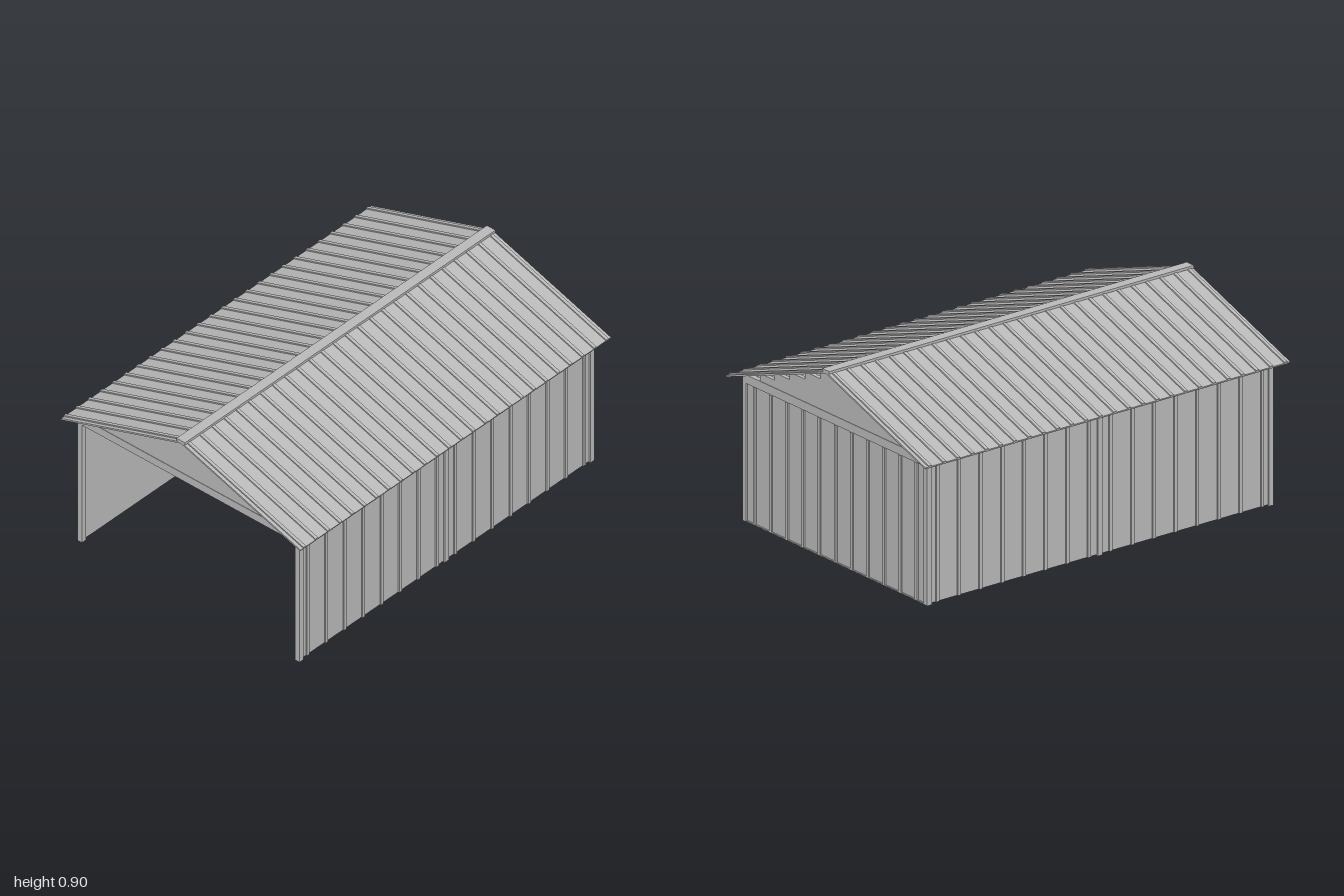
import * as THREE from 'three';

export function createModel() {
  const model = new THREE.Group();
  model.name = 'shed';
  const grey = new THREE.MeshStandardMaterial({ color: 0xb8b8b8 });
  grey.name = 'galvanisedGrey';

  const add = (name, geometry, x, y, z, parent = model) => {
    const mesh = new THREE.Mesh(geometry, grey);
    mesh.name = name;
    mesh.position.set(x, y, z);
    parent.add(mesh);
    return mesh;
  };
  const box = (name, w, h, d, x, y, z, parent) =>
    add(name, new THREE.BoxGeometry(w, h, d), x, y, z, parent);

  const halfW = 0.64, halfD = 0.95, wallH = 0.68, post = 0.025;

  // Side walls: posts, thin sheet, upright ribs and top rail
  for (const s of [-1, 1]) {
    const wall = new THREE.Group();
    wall.name = s > 0 ? 'leftWall' : 'rightWall';
    model.add(wall);
    for (const z of [-halfD + post / 2, 0, halfD - post / 2])
      box('post', post, wallH, post, s * (halfW - post / 2), wallH / 2, z, wall);
    box('wallSheet', 0.01, wallH - 0.01, 2 * halfD - 0.02, s * 0.627, wallH / 2, 0, wall);
    box('topRail', post, 0.025, 2 * halfD, s * (halfW - post / 2), wallH - 0.0125, 0, wall);
    for (let i = 0; i < 16; i++) {
      const z = -halfD + (i + 0.5) * (2 * halfD / 16);
      box('wallRib', 0.008, wallH - 0.01, 0.016, s * 0.635, wallH / 2, z, wall);
    }
  }

  // Closed back wall
  const back = new THREE.Group();
  back.name = 'backWall';
  model.add(back);
  box('wallSheet', 2 * halfW - 0.03, wallH - 0.01, 0.01, 0, wallH / 2, -0.937, back);
  box('sill', 2 * halfW - 0.03, 0.005, 0.02, 0, 0.0025, -0.938, back);
  for (let i = 0; i < 11; i++)
    box('wallRib', 0.016, wallH - 0.045, 0.008, -0.56 + i * 0.112, 0.32, -0.945, back);

  // Cross beams and stepped gables at both ends
  const steps = [[0.52, 0.715], [0.42, 0.75], [0.315, 0.785], [0.21, 0.82], [0.1, 0.855]];
  const outline = new THREE.Shape();
  outline.moveTo(-0.52, wallH);
  outline.lineTo(0.52, wallH);
  steps.forEach(([x, y], i) => {
    outline.lineTo(x, y);
    outline.lineTo(i < 4 ? -0 + steps[i + 1][0] : -x, y);
  });
  [...steps].reverse().forEach(([x, y], i) => {
    if (i > 0) {
      outline.lineTo(-steps[5 - i][0], y);
      outline.lineTo(-x, y);
    }
  });
  outline.closePath();
  const gableGeometry = new THREE.ExtrudeGeometry(outline, { depth: 0.02, bevelEnabled: false });
  for (const s of [-1, 1]) {
    box('endBeam', 2 * halfW, 0.04, post, 0, wallH - 0.02, s * (halfD - post / 2));
    add('steppedGable', gableGeometry, 0, 0, s * 0.938 - 0.01);
  }

  // Two roof slopes with raised ribs running down to the eaves
  const run = 0.69, drop = 0.23;
  const length = Math.hypot(run, drop), pitch = Math.atan2(drop, run);
  for (const s of [-1, 1]) {
    const slope = new THREE.Group();
    slope.name = s > 0 ? 'leftRoof' : 'rightRoof';
    slope.position.set(s * run / 2, 0.663 + drop / 2, 0);
    slope.rotation.z = -s * pitch;
    model.add(slope);
    box('roofSheet', length, 0.008, 2, 0, 0, 0, slope);
    for (let i = 0; i < 26; i++)
      box('roofRib', length, 0.008, 0.016, 0, 0.006, -0.975 + i * 0.078, slope);
  }
  box('ridgeCap', 0.05, 0.012, 2, 0, 0.899, 0);

  // Stored crates: centre x, bottom y, size
  for (const [x, y, size] of [[-0.437, 0.16, 0.145], [-0.355, 0.305, 0.103], [-0.272, 0.16, 0.122], [0.415, 0.16, 0.132]])
    box('crate', size, size, size, x, y + size / 2, -0.83);

  // Stored barrels
  const barrel = new THREE.CylinderGeometry(0.03, 0.03, 0.092, 16);
  for (const [x, z] of [[0.145, -0.87], [0.182, -0.81], [0.22, -0.87], [0.517, -0.84]])
    add('barrel', barrel, x, 0.206, z);

  return model;
}
